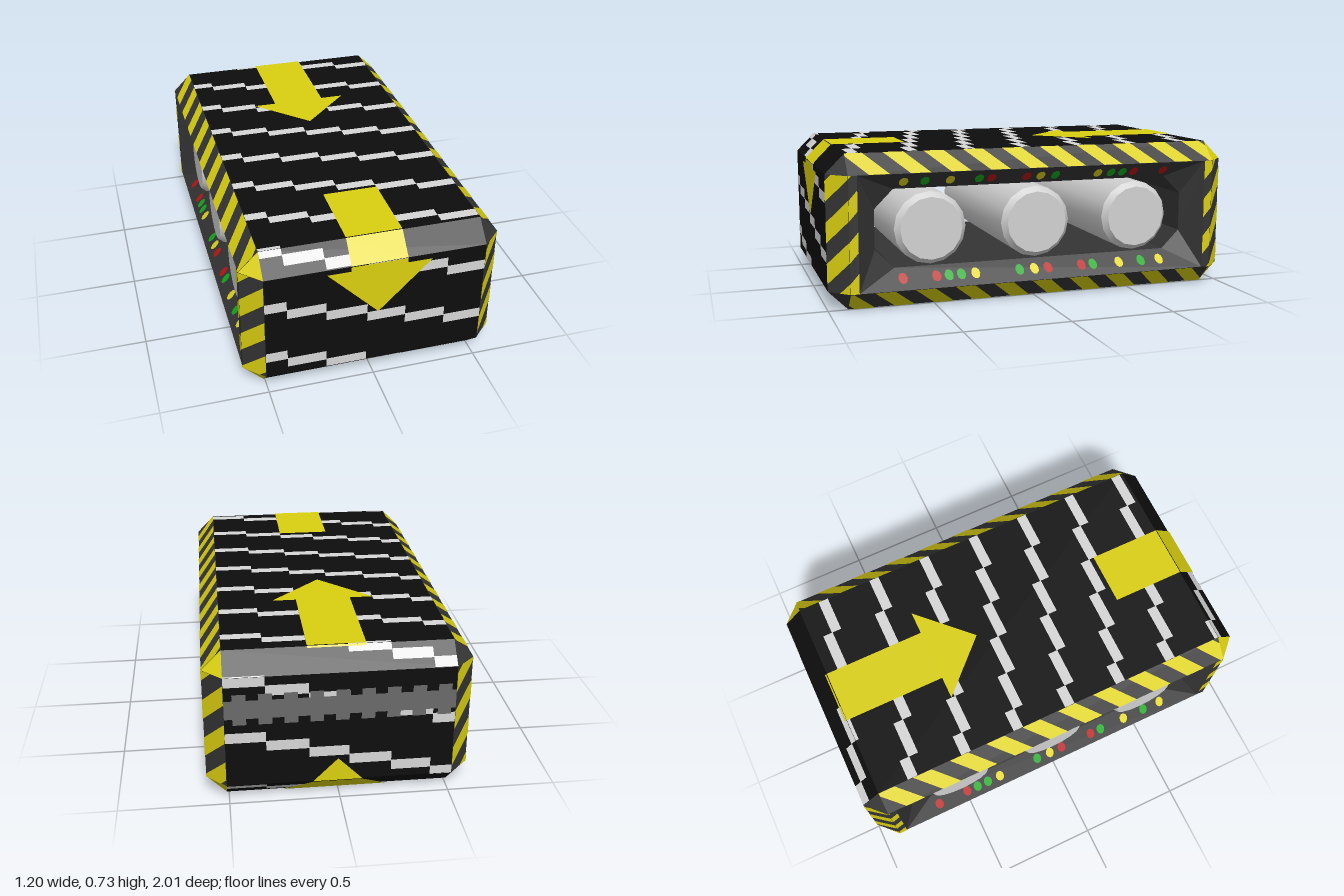
import * as THREE from 'three';
import { toCreasedNormals } from 'three/addons/utils/BufferGeometryUtils.js';

const V = (x, y, z) => new THREE.Vector3(x, y, z);
const W = 0.51, H = 0.72, C = 0.09, D = C * Math.SQRT2;

function material(name, color, side = THREE.FrontSide) {
  const m = new THREE.MeshStandardMaterial({ color, side });
  m.name = name;
  return m;
}

// Keep the part of a convex polygon whose first coordinate lies in [lo, hi]
function clip(poly, lo, hi) {
  for (const [sign, limit] of [[1, lo], [-1, -hi]]) {
    const out = [];
    poly.forEach((p, i) => {
      const q = poly[(i + 1) % poly.length];
      const dp = sign * p[0] - limit, dq = sign * q[0] - limit;
      if (dp >= 0) out.push(p);
      if (dp * dq < 0) {
        const t = dp / (dp - dq);
        out.push([p[0] + (q[0] - p[0]) * t, p[1] + (q[1] - p[1]) * t]);
      }
    });
    poly = out;
  }
  return poly;
}

// Lay a convex 2D polygon on a flat facet (origin o, axes u and v, length L)
function paint(out, poly, { o, u, v, L }, lift = 0) {
  poly = clip(poly, 0, L);
  if (poly.length < 3) return;
  let area = 0;
  poly.forEach((p, i) => {
    const q = poly[(i + 1) % poly.length];
    area += p[0] * q[1] - q[0] * p[1];
  });
  if (area < 0) poly.reverse();
  const n = u.clone().cross(v);
  const pts = poly.map(([a, b]) => o.clone().addScaledVector(u, a).addScaledVector(v, b).addScaledVector(n, lift));
  for (let i = 1; i < pts.length - 1; i++) out.push(pts[0], pts[i], pts[i + 1]);
}

const rect = (a0, a1, b0, b1) => [[a0, b0], [a1, b0], [a1, b1], [a0, b1]];

function faces(name, points, mat) {
  const g = new THREE.BufferGeometry().setFromPoints(points);
  g.computeVertexNormals();
  const m = new THREE.Mesh(g, mat);
  m.name = name;
  return m;
}

// Join two loops of points with quads
function loft(out, A, B) {
  A.forEach((a, i) => {
    const j = (i + 1) % A.length;
    out.push(a, A[j], B[j], a, B[j], B[i]);
  });
}

export function createModel() {
  const black = material('beltBlack', 0x0d0d0d);
  const white = material('treadWhite', 0xd6d6d6);
  const gray = material('seamGray', 0x6a6a6a);
  const yellow = material('hazardYellow', 0xdacf10);
  const dark = material('frameDark', 0x343434, THREE.DoubleSide);
  const steel = material('rollerSteel', 0xd2d2d2);
  const lamps = { r: material('lampRed', 0xb81414), g: material('lampGreen', 0x12a81c), y: material('lampYellow', 0xe0d420) };
  const model = new THREE.Group();
  model.name = 'conveyor';

  // Belt loop: chamfered side profile, walked from the top back edge forward
  const e = 1 - C;
  const loop = [[H, -e], [H, e], [H - C, 1], [C, 1], [0, e], [0, -e], [C, -1], [H - C, -1]];
  const X = V(1, 0, 0);
  let s = -e;
  const facets = loop.map(([y, z], i) => {
    const [y2, z2] = loop[(i + 1) % 8];
    const o = V(0, y, z), u = V(0, y2 - y, z2 - z), L = u.length();
    const f = { o, u: u.normalize(), v: X, L, s };
    s += L;
    return f;
  });
  const P = s + e;
  const wrap = (out, poly, lift) => {
    for (const f of facets)
      for (const k of [-P, 0, P]) paint(out, poly.map(([a, b]) => [a + k - f.s, b]), f, lift);
  };
  const belt = [], treads = [], arrows = [], seam = [];
  for (const f of facets) paint(belt, rect(0, f.L, -W, W), f);

  // Stepped tread lines, spiralling round the belt
  const cols = [-W, -0.41, -0.23, -0.04, 0.14, 0.33, W];
  for (let k = 0; k < 19; k++)
    for (let c = 0; c < 6; c++) {
      const m = -0.735 + k * P / 19 + c * 0.0455;
      wrap(treads, rect(m - 0.025, m + 0.025, cols[c], cols[c + 1]), 0.002);
    }

  // Direction arrows
  for (const a of [-0.92, 0.55, 1.98, 3.01]) {
    const h = a + 0.51;
    wrap(arrows, rect(a, h, -0.12, 0.14), 0.005);
    wrap(arrows, [[h, -0.23], [h, 0.255], [h + 0.245, 0.01]], 0.005);
  }

  // Toothed belt seam on the back
  const back = facets[6];
  paint(seam, rect(0.34, 0.43, -W, W), back, 0.004);
  for (let i = 0; i < 9; i++) {
    const x = -0.49 + i * 0.113;
    paint(seam, rect(0.31, 0.34, x, x + 0.06), back, 0.004);
    paint(seam, rect(0.43, 0.46, x, x + 0.06), back, 0.004);
  }
  model.add(faces('belt', belt, black), faces('treadLines', treads, white),
    faces('arrows', arrows, yellow), faces('beltSeam', seam, gray));

  // Side frame: bevelled rim, end bands, corners and sloped recess
  const frame = new THREE.Group();
  frame.name = 'leftFrame';
  const rim = [], stripes = [], corners = [];
  const addStripes = (f, width, start, lean) => {
    paint(rim, rect(0, f.L, 0, width), f);
    for (let a = -0.16; a < f.L + 0.3; a += 0.19) {
      const b = a + start;
      paint(stripes, [[b, 0], [b + 0.095, 0], [b + 0.095 - lean, width], [b - lean, width]], f, 0.002);
    }
  };
  for (let i = 0; i < 8; i += 2) {
    const f = facets[i], n = f.u.clone().cross(X);
    const o = f.o.clone().setX(W);
    addStripes({ o, u: f.u, v: X.clone().sub(n).normalize(), L: f.L }, D, 0, 0.11);
    const inner = o.clone().addScaledVector(n, -C).setX(W + C);
    if (i % 4 === 2) addStripes({ o: inner, u: f.u, v: n.clone().negate(), L: f.L }, 0.04, -0.11, 0.045);
    // triangle at the end of this edge
    const p = facets[i + 1].o.clone().setX(W), q = facets[(i + 2) % 8].o.clone().setX(W);
    const tip = inner.clone().addScaledVector(f.u, f.L);
    (p.z > 0 ? rim : corners).push(p, q, tip);
  }
  const octagon = (x) => [[0.55, -0.69], [0.55, 0.69], [0.46, 0.78], [0.27, 0.78],
    [0.18, 0.69], [0.18, -0.69], [0.27, -0.78], [0.46, -0.78]].map(([y, z]) => V(x, y, z));
  const mouth = octagon(0).map((p) => V(W + C, p.y > 0.36 ? H - C : C, Math.sign(p.z) * 0.87));
  const recess = [], tunnel = [];
  loft(recess, octagon(W), mouth);
  loft(tunnel, octagon(-W), octagon(W));
  frame.add(faces('rim', rim, dark), faces('hazardStripes', stripes, yellow),
    faces('cornerStripes', corners, yellow), faces('recess', recess, dark));

  // Indicator lamps along the sloped recess walls
  const lampRow = [[0.66, 'r'], [0.5, 'r'], [0.44, 'g'], [0.38, 'g'], [0.31, 'y'], [0.09, 'g'], [0.015, 'y'],
    [-0.055, 'r'], [-0.23, 'r'], [-0.29, 'g'], [-0.43, 'y'], [-0.55, 'g'], [-0.65, 'y']];
  const disc = new THREE.CircleGeometry(0.022, 10).scale(1, 1.4, 1).rotateY(Math.PI / 2);
  for (const up of [1, -1])
    for (const [z, c] of lampRow) {
      const lamp = new THREE.Mesh(disc, lamps[c]);
      lamp.name = 'lamp';
      lamp.rotation.z = up * Math.PI / 4;
      lamp.position.set(0.558, up > 0 ? 0.138 : 0.587, z * up);
      frame.add(lamp);
    }
  const other = frame.clone();
  other.name = 'rightFrame';
  other.rotation.y = Math.PI;
  model.add(frame, other, faces('tunnel', tunnel, dark));

  // Rollers with bevelled ends
  const profile = [[0, -0.55], [0.148, -0.55], [0.172, -0.52], [0.172, 0.52], [0.148, 0.55], [0, 0.55]];
  const rollerGeo = toCreasedNormals(
    new THREE.LatheGeometry(profile.map(([r, y]) => new THREE.Vector2(r, y)), 16), 0.5).rotateZ(Math.PI / 2);
  for (const z of [-0.52, 0, 0.52]) {
    const roller = new THREE.Mesh(rollerGeo, steel);
    roller.name = 'roller';
    roller.position.set(0, 0.362, z);
    model.add(roller);
  }
  return model;
}
